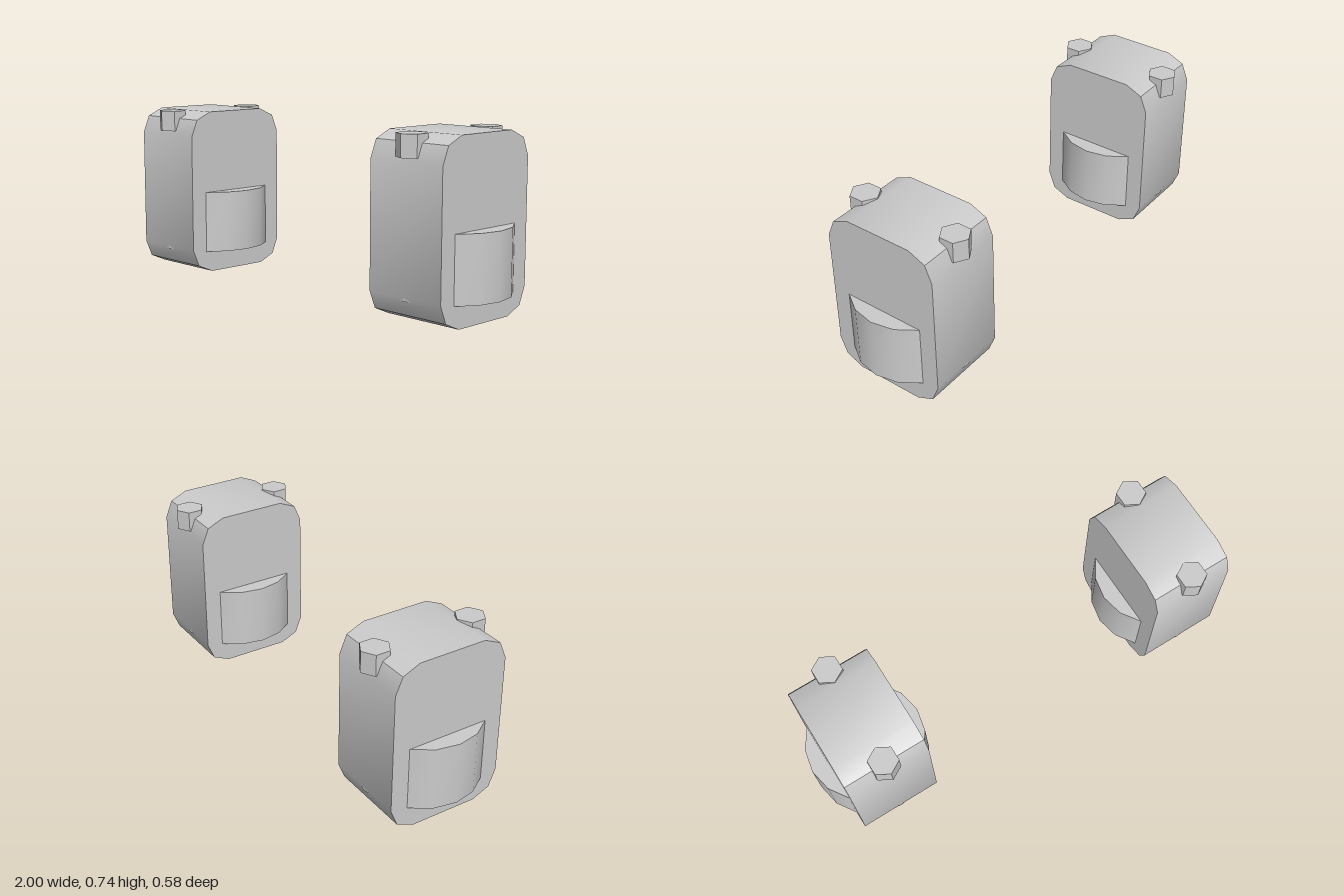
import * as THREE from 'three';
import { toCreasedNormals } from 'three/addons/utils/BufferGeometryUtils.js';

const material = new THREE.MeshStandardMaterial({ color: 0xcccccc });

function part(name, geometry, x, y, z) {
  const mesh = new THREE.Mesh(toCreasedNormals(geometry, 0.55), material);
  mesh.name = name;
  mesh.position.set(x, y, z);
  return mesh;
}

// Block with chamfered corners, extruded across its width
function bodyGeometry(width, height) {
  const corner = [[0.15, 0], [0.227, 0.034], [0.258, 0.109]];
  const upper = corner.map(([z, y]) => [z, height - y]).reverse();
  const half = [...corner, ...upper];
  const outline = [...half, ...half.map(([z, y]) => [-z, y]).reverse()];
  const shape = new THREE.Shape(outline.map(([z, y]) => new THREE.Vector2(z, y)));
  const geometry = new THREE.ExtrudeGeometry(shape, { depth: width, bevelEnabled: false });
  return geometry.translate(0, 0, -width / 2).rotateY(Math.PI / 2);
}

function createUnit(name, x) {
  const unit = new THREE.Group();
  unit.name = name;
  unit.position.x = x;
  unit.add(part('body', bodyGeometry(0.366, 0.742), 0, 0, 0));
  // Drum running through the block and bulging out of both sides
  unit.add(part('drum', new THREE.CylinderGeometry(0.258, 0.258, 0.277, 16), 0, 0.2335, 0));
  // Hexagonal studs at the front and back top edges
  for (const side of [1, -1]) {
    const stud = new THREE.CylinderGeometry(0.064, 0.064, 0.092, 6);
    unit.add(part(side > 0 ? 'frontStud' : 'backStud', stud, 0, 0.697, side * 0.224));
  }
  return unit;
}

export function createModel() {
  const model = new THREE.Group();
  model.name = 'pairedBlocks';
  model.add(createUnit('leftBlock', 0.742), createUnit('rightBlock', -0.742));
  return model;
}
